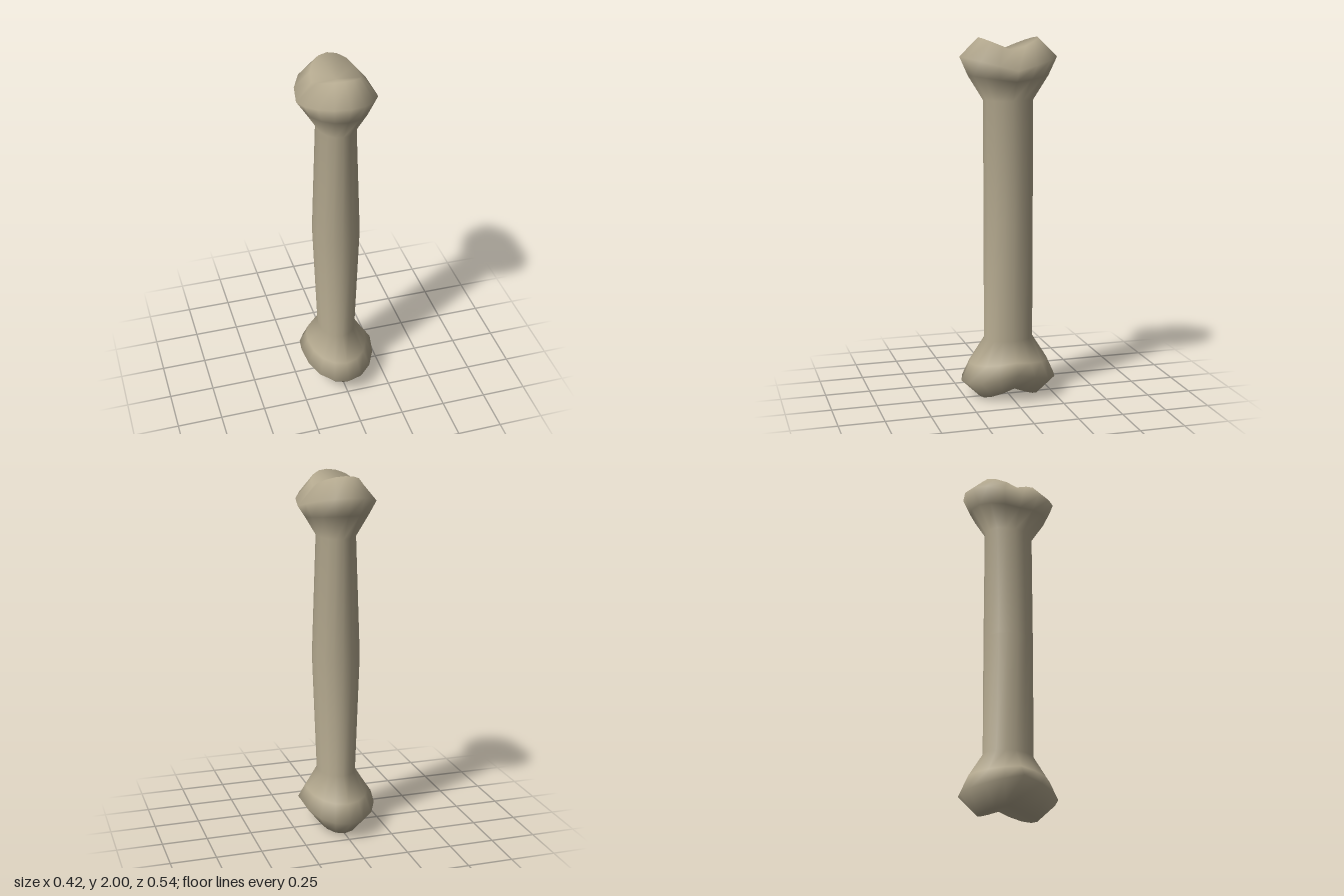
import * as THREE from 'three';

const SIDES = 16;

// Upper half cross-sections: x radius, z radius, height at z = 0, height at the z ends
const HALF = [
  [0.105, 0.14, 1.665, 1.665], // shaft end
  [0.17, 0.225, 1.77, 1.8],    // flare
  [0.21, 0.27, 1.83, 1.9],     // widest rim
  [0.128, 0.165, 1.93, 2.0],   // crown of the two knuckles
];
const GROOVE = 1.93; // height of the valley between the knuckles

function boneGeometry() {
  const lower = HALF.map(([rx, rz, y0, y1]) => [rx, rz, 2 - y0, 2 - y1]).reverse();
  const rings = [...lower, [0.132, 0.137, 1, 1], ...HALF];
  const positions = [];
  const indices = [];

  // Oval rings that bend into a saddle towards the ends
  for (const [rx, rz, y0, y1] of rings) {
    for (let i = 0; i < SIDES; i++) {
      const a = (i / SIDES) * Math.PI * 2;
      const c = Math.cos(a);
      positions.push(rx * Math.sin(a), y0 + (y1 - y0) * Math.abs(c), rz * c);
    }
  }
  const bottom = rings.length * SIDES;
  const top = bottom + 1;
  positions.push(0, 2 - GROOVE, 0, 0, GROOVE, 0);

  // Side walls
  for (let j = 0; j < rings.length - 1; j++) {
    for (let i = 0; i < SIDES; i++) {
      const n = (i + 1) % SIDES;
      const a = j * SIDES + i, b = j * SIDES + n;
      indices.push(a, b, b + SIDES, a, b + SIDES, a + SIDES);
    }
  }
  // Grooved end caps
  const last = (rings.length - 1) * SIDES;
  for (let i = 0; i < SIDES; i++) {
    const n = (i + 1) % SIDES;
    indices.push(bottom, n, i, top, last + i, last + n);
  }

  const geometry = new THREE.BufferGeometry();
  geometry.setAttribute('position', new THREE.Float32BufferAttribute(positions, 3));
  geometry.setIndex(indices);
  geometry.computeVertexNormals();
  return geometry;
}

export function createModel() {
  const group = new THREE.Group();
  group.name = 'bone';
  const material = new THREE.MeshStandardMaterial({ color: 0xb3a88e });
  material.name = 'bone beige';
  const bone = new THREE.Mesh(boneGeometry(), material);
  bone.name = 'boneShaftAndKnuckles';
  group.add(bone);
  return group;
}
